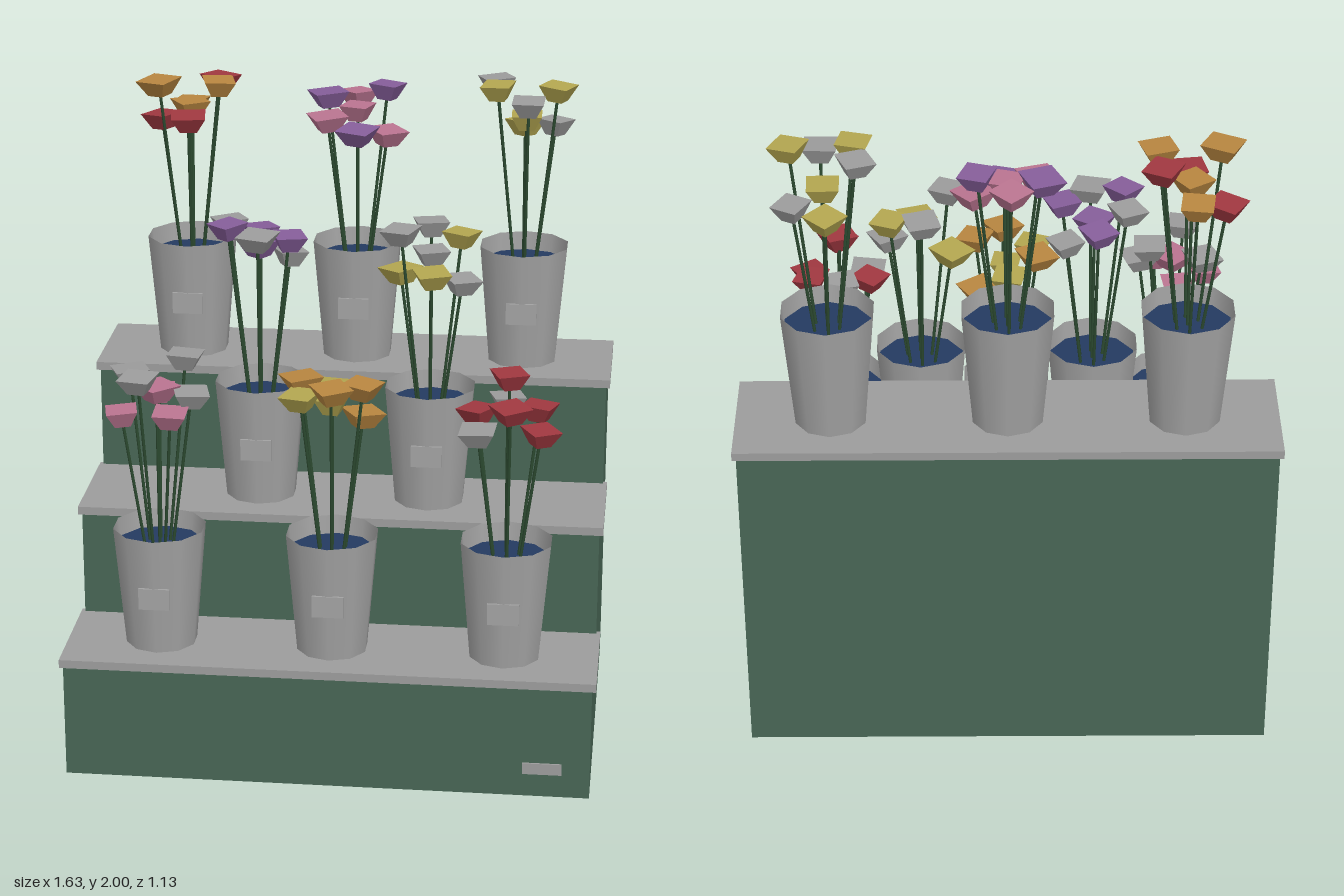
import * as THREE from 'three';

const mat = (name, color, side = THREE.FrontSide) => {
  const m = new THREE.MeshStandardMaterial({ color, side });
  m.name = name;
  return m;
};

export function createModel() {
  const root = new THREE.Group();
  root.name = 'flowerStand';

  const green = mat('painted green', 0x486655);
  const grey = mat('shelf grey', 0x9c9c9c);
  const steel = mat('bucket grey', 0xa2a2a2, THREE.DoubleSide);
  const water = mat('water blue', 0x243a60);
  const stemMat = mat('stem green', 0x2c4a30);
  const petals = {
    W: grey,
    Y: mat('yellow petal', 0xb3a650),
    O: mat('orange petal', 0xb88640),
    R: mat('red petal', 0xa03840),
    V: mat('purple petal', 0x865e9a),
    P: mat('pink petal', 0xba7490),
  };

  let seed = 7;
  const rand = () => (seed = (seed * 16807) % 2147483647) / 2147483647;

  const add = (parent, name, geo, material, x, y, z) => {
    const mesh = new THREE.Mesh(geo, material);
    mesh.name = name;
    mesh.position.set(x, y, z);
    parent.add(mesh);
    return mesh;
  };

  // Stepped body: side silhouette extruded across the width
  const side = new THREE.Shape();
  side.moveTo(-0.56, 0).lineTo(0.555, 0).lineTo(0.555, 1.062).lineTo(0.18, 1.062);
  side.lineTo(0.18, 0.712).lineTo(-0.19, 0.712).lineTo(-0.19, 0.356).lineTo(-0.56, 0.356);
  const bodyGeo = new THREE.ExtrudeGeometry(side, { depth: 1.61, bevelEnabled: false });
  bodyGeo.translate(0, 0, -0.805).rotateY(Math.PI / 2);
  add(root, 'steppedBody', bodyGeo, green, 0, 0, 0);

  // Small plate low on the front
  add(root, 'frontPlate', new THREE.BoxGeometry(0.12, 0.036, 0.008), grey, 0.66, 0.093, 0.562);

  // Bucket parts
  const H = 0.378;
  const boardGeo = new THREE.BoxGeometry(1.634, 0.026, 0.39);
  const wallGeo = new THREE.CylinderGeometry(0.143, 0.11, H, 10, 1, true);
  const baseGeo = new THREE.CircleGeometry(0.11, 10).rotateX(Math.PI / 2).rotateY(Math.PI / 2);
  const waterGeo = new THREE.CylinderGeometry(0.136, 0.136, 0.004, 10);
  const labelGeo = new THREE.BoxGeometry(0.096, 0.068, 0.008);

  // Bloom: square cup wider at the top, with flat faces
  const cupGeo = new THREE.CylinderGeometry(0.071, 0.036, 0.05, 4).toNonIndexed();
  cupGeo.computeVertexNormals();
  const up = new THREE.Vector3(0, 1, 0);

  // Stem runs from near the bucket floor out to the bloom
  const addFlower = (bucket, material, tip) => {
    const foot = new THREE.Vector3(tip.x * 0.06, 0.05, tip.z * 0.06);
    const dir = tip.clone().sub(foot);
    const mid = tip.clone().add(foot).multiplyScalar(0.5);
    const stemGeo = new THREE.CylinderGeometry(0.005, 0.005, dir.length(), 5);
    dir.normalize();
    add(bucket, 'stem', stemGeo, stemMat, mid.x, mid.y, mid.z).quaternion.setFromUnitVectors(up, dir);

    const bloom = add(bucket, 'bloom', cupGeo, material, tip.x, tip.y, tip.z);
    bloom.quaternion.setFromUnitVectors(up, dir.lerp(up, 0.5).normalize());
    bloom.rotateY(rand() * Math.PI);
    const s = 0.88 + rand() * 0.2;
    bloom.scale.set(s, 1, s);
  };

  // A bucket holds one middle flower and an even ring of flowers around it
  const addBucket = (x, y, z, colours, heights) => {
    const bucket = new THREE.Group();
    bucket.name = 'flowerBucket';
    bucket.position.set(x, y, z);
    root.add(bucket);
    add(bucket, 'bucketWall', wallGeo, steel, 0, H / 2, 0);
    add(bucket, 'bucketBase', baseGeo, steel, 0, 0.003, 0);
    add(bucket, 'water', waterGeo, water, 0, H - 0.06, 0);
    add(bucket, 'label', labelGeo, steel, 0, 0.185, 0.126);
    heights.forEach((h, i) => {
      const angle = -1.66 + ((i - 1) * 2 * Math.PI) / (heights.length - 1);
      const r = i === 0 ? 0 : 0.107;
      const tip = new THREE.Vector3(r * Math.cos(angle), h - y, r * Math.sin(angle));
      addFlower(bucket, petals[colours[i]], tip);
    });
  };

  // Rows of buckets: bloom colours and bloom heights, middle flower first
  const rows = [
    { y: 0.382, z: 0.368, xs: [-0.53, 0, 0.53], bunches: [
      ['PPWWPWPW', [1.19, 1.15, 1.27, 1.18, 1.14, 1.25, 1.12, 1.22]],
      ['YYOOOYO', [1.17, 1.18, 1.11, 1.235, 1.24, 1.2, 1.22]],
      ['RWRRRWR', [1.27, 1.16, 1.15, 1.11, 1.2, 1.11, 1.14]]] },
    { y: 0.738, z: 0, xs: [-0.265, 0.265], bunches: [
      ['VVWVWVW', [1.54, 1.555, 1.495, 1.575, 1.59, 1.61, 1.595]],
      ['WWYWYWY', [1.53, 1.59, 1.57, 1.455, 1.49, 1.61, 1.455]]] },
    { y: 1.088, z: -0.368, xs: [-0.53, 0, 0.53], bunches: [
      ['OOROROR', [1.88, 1.86, 1.95, 1.96, 1.86, 1.96, 1.825]],
      ['PPVPVPV', [1.88, 1.9, 1.935, 1.815, 1.83, 1.86, 1.91]],
      ['YYWYWYW', [1.865, 1.82, 1.835, 1.97, 1.935, 1.973, 1.97]]] },
  ];
  for (const { y, z, xs, bunches } of rows) {
    add(root, 'shelfBoard', boardGeo, grey, 0, y - 0.013, z);
    xs.forEach((x, i) => addBucket(x, y, z, ...bunches[i]));
  }
  return root;
}
